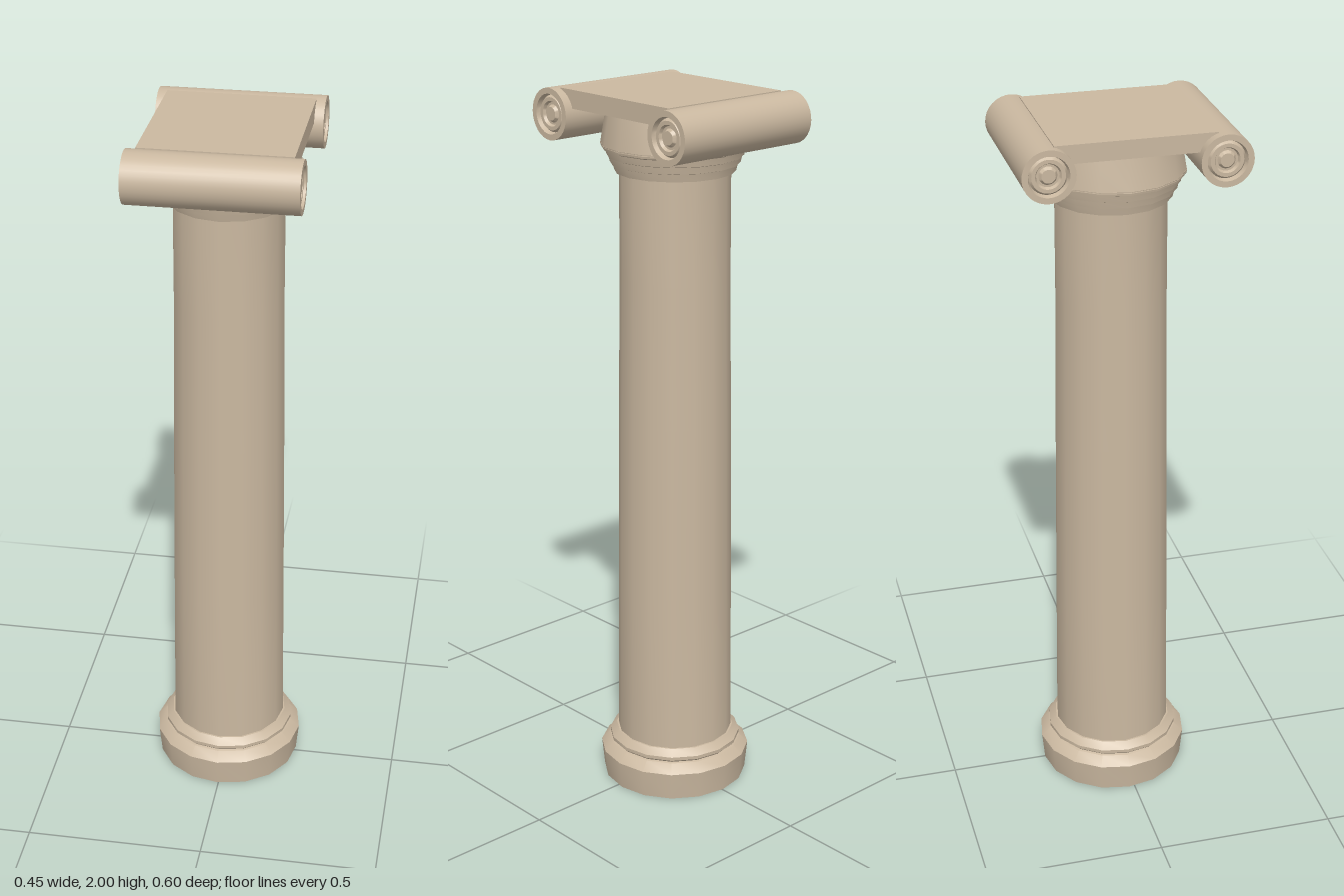
import * as THREE from 'three';
import { toCreasedNormals } from 'three/addons/utils/BufferGeometryUtils.js';

export function createModel() {
  const model = new THREE.Group();
  model.name = 'column';
  const stone = new THREE.MeshStandardMaterial({ color: 0xcab8a0 });
  stone.name = 'sandstone';

  // Turned part from [radius, height] pairs, bottom to top, with crisp edges
  const turned = (name, profile, sides) => {
    const points = profile.map(([r, y]) => new THREE.Vector2(r, y));
    const geometry = toCreasedNormals(new THREE.LatheGeometry(points, sides), 0.5);
    const mesh = new THREE.Mesh(geometry, stone);
    mesh.name = name;
    return mesh;
  };

  // Round pillar, set slightly behind the middle of the capital
  const pillar = new THREE.Group();
  pillar.name = 'pillar';
  pillar.position.set(-0.002, 0, -0.017);
  model.add(pillar);

  pillar.add(turned('base', [
    [0, 0], [0.207, 0], [0.215, 0.08], [0.19, 0.104], [0.183, 0.106],
    [0.189, 0.112], [0.189, 0.122], [0.17, 0.14], [0, 0.14],
  ], 16));

  pillar.add(turned('shaft', [
    [0.165, 0.138], [0.161, 0.6], [0.156, 1.1], [0.151, 1.5], [0.15, 1.795],
  ], 16));

  // Stepped rings below the scrolls
  pillar.add(turned('neckRings', [
    [0, 1.787], [0.163, 1.787], [0.168, 1.808], [0.175, 1.81], [0.179, 1.828],
    [0.184, 1.83], [0.188, 1.848], [0.198, 1.852], [0.2, 1.862], [0, 1.862],
  ], 16));

  pillar.add(turned('echinus', [[0.2, 1.858], [0.184, 1.952]], 16));

  // Flat slab joining the two scrolls
  const slab = new THREE.Mesh(new THREE.BoxGeometry(0.4, 0.05, 0.424), stone);
  slab.name = 'capitalSlab';
  slab.position.y = 1.975;
  model.add(slab);

  // Scroll rolls with concentric grooves in both ends
  const end = [
    [0, 0.219], [0.018, 0.219], [0.024, 0.211], [0.03, 0.211],
    [0.034, 0.219], [0.044, 0.219], [0.05, 0.211], [0.054, 0.225], [0.07, 0.225],
  ];
  const scrollProfile = [...end.map(([r, y]) => [r, -y]), ...[...end].reverse()];
  for (const side of [1, -1]) {
    const scroll = turned(side > 0 ? 'frontScroll' : 'backScroll', scrollProfile, 32);
    scroll.rotation.z = Math.PI / 2;
    scroll.position.set(0, 1.93, side * 0.231);
    model.add(scroll);
  }

  return model;
}
